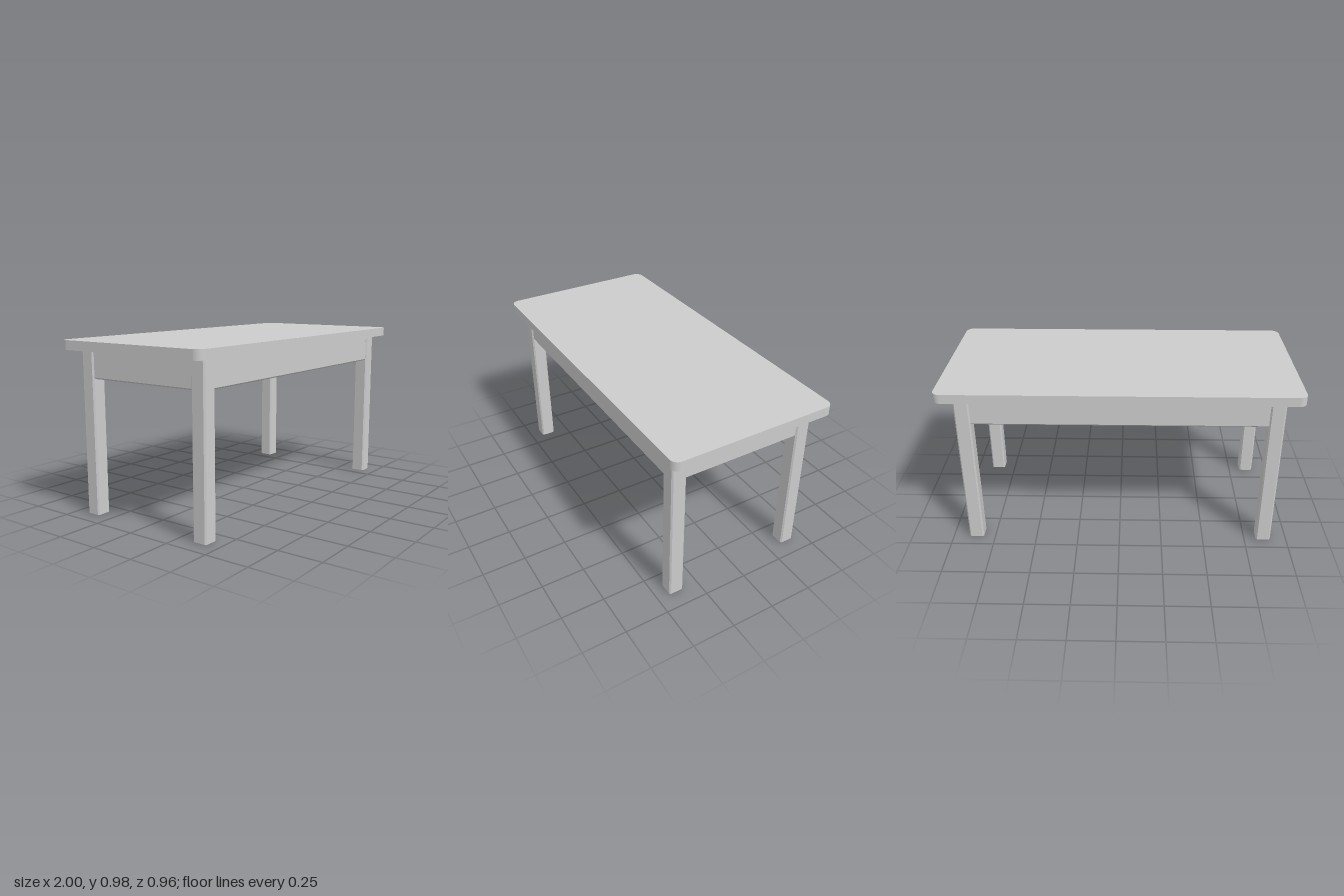
import * as THREE from 'three';

const SMOOTH = new THREE.MeshStandardMaterial({ color: 0xcccccc });
const FLAT = new THREE.MeshStandardMaterial({ color: 0xcccccc, flatShading: true });

const TOP_Y = 0.98, UNDER_Y = 0.927, APRON_Y = 0.767;
const LEG = 0.085, LEG_X = 0.862, LEG_Z = 0.385;
const CHAMFER = 0.008;

// Rounded rectangle centred on the origin
function roundedRect(w, h, r) {
  const x = w / 2, y = h / 2, s = new THREE.Shape();
  s.moveTo(-x + r, -y);
  s.lineTo(x - r, -y);
  s.absarc(x - r, -y + r, r, -Math.PI / 2, 0);
  s.lineTo(x, y - r);
  s.absarc(x - r, y - r, r, 0, Math.PI / 2);
  s.lineTo(-x + r, y);
  s.absarc(-x + r, y - r, r, Math.PI / 2, Math.PI);
  s.lineTo(-x, -y + r);
  s.absarc(-x + r, -y + r, r, Math.PI, Math.PI * 1.5);
  return s;
}

// Rectangle with cut corners; the two upper cuts are optional
function chamferedRect(w, h, c, cutTop = true) {
  const x = w / 2, y = h / 2, t = cutTop ? c : 0;
  const pts = [[-x + c, -y], [x - c, -y], [x, -y + c], [x, y - t]];
  if (cutTop) pts.push([x - c, y], [-x + c, y]);
  pts.push([-x, y - t], [-x, -y + c]);
  return new THREE.Shape(pts.map(([a, b]) => new THREE.Vector2(a, b)));
}

function extrude(shape, depth) {
  return new THREE.ExtrudeGeometry(shape, { depth, bevelEnabled: false, curveSegments: 8 });
}

export function createModel() {
  const table = new THREE.Group();
  table.name = 'table';
  const add = (name, geometry, material) => {
    const mesh = new THREE.Mesh(geometry, material);
    mesh.name = name;
    table.add(mesh);
    return mesh;
  };

  // Table top with rounded corners
  const slab = extrude(roundedRect(2, 0.96, 0.045), TOP_Y - UNDER_Y).rotateX(-Math.PI / 2);
  add('tableTop', slab, SMOOTH).position.y = UNDER_Y;

  // Four square legs with chamfered upright edges
  const leg = extrude(chamferedRect(LEG, LEG, CHAMFER), UNDER_Y).rotateX(-Math.PI / 2);
  for (const [zName, sz] of [['front', 1], ['back', -1]])
    for (const [xName, sx] of [['Left', 1], ['Right', -1]])
      add(zName + xName + 'Leg', leg, FLAT).position.set(sx * LEG_X, 0, sz * LEG_Z);

  // Aprons between the legs, chamfered along their lower edges
  const height = UNDER_Y - APRON_Y;
  const profile = chamferedRect(0.068, height, CHAMFER, false);
  const apron = (half) => {
    const length = 2 * (half - LEG / 2) + 0.01;
    return extrude(profile, length).translate(0, APRON_Y + height / 2, -length / 2);
  };
  const longApron = apron(LEG_X).rotateY(Math.PI / 2);
  const shortApron = apron(LEG_Z);
  add('frontApron', longApron, FLAT).position.z = LEG_Z;
  add('backApron', longApron, FLAT).position.z = -LEG_Z;
  add('leftApron', shortApron, FLAT).position.x = LEG_X;
  add('rightApron', shortApron, FLAT).position.x = -LEG_X;

  return table;
}
